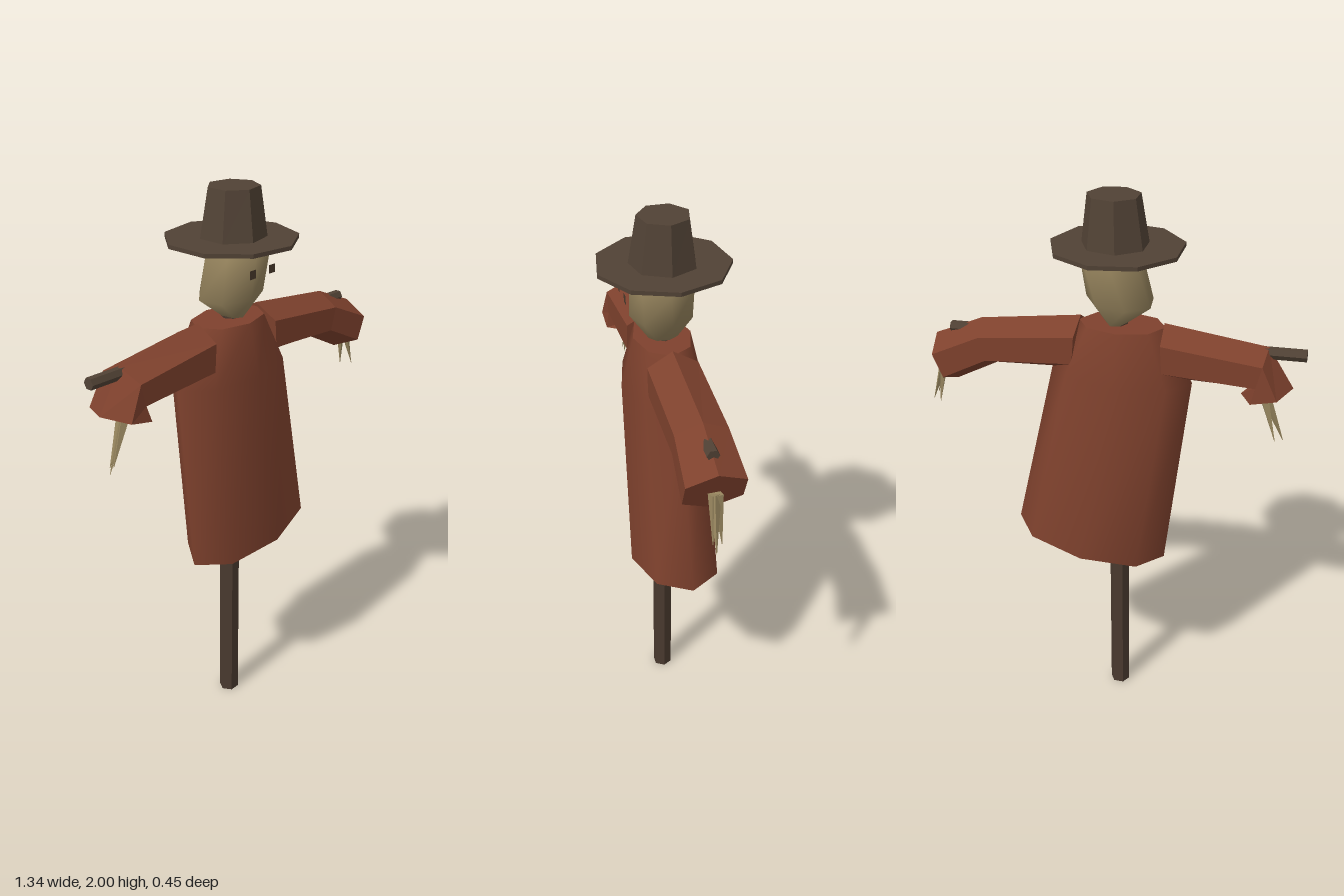
import * as THREE from 'three';

const paint = (name, color, side = THREE.FrontSide) => Object.assign(new THREE.MeshStandardMaterial({ color, side }), { name });

// Skin a list of rings (each an array of Vector3, counter-clockwise seen from the last ring's end).
function loft(rings, smooth) {
  const n = rings[0].length, pos = [], idx = [];
  const add = (p) => pos.push(p.x, p.y, p.z) / 3 - 1;
  rings.forEach((r) => r.forEach(add));
  for (let i = 0; i < rings.length - 1; i++) {
    for (let j = 0; j < n; j++) {
      const a = i * n + j, b = i * n + (j + 1) % n;
      idx.push(a, b, b + n, a, b + n, a + n);
    }
  }
  // Separate end caps keep their rims sharp
  [[rings[0], true], [rings[rings.length - 1], false]].forEach(([ring, flip]) => {
    const s = ring.map(add)[0];
    for (let j = 1; j < n - 1; j++) idx.push(s, s + j + (flip ? 1 : 0), s + j + (flip ? 0 : 1));
  });
  let g = new THREE.BufferGeometry();
  g.setAttribute('position', new THREE.Float32BufferAttribute(pos, 3));
  g.setIndex(idx);
  if (!smooth) g = g.toNonIndexed();
  g.computeVertexNormals();
  return g;
}

// Ring stacked along y: centre x, y, z, radii, slope of y along x, and turn
const levelRing = (n, cx, cy, cz, rx, rz, slope = 0, turn = 0) => Array.from({ length: n }, (_, i) => {
  const a = turn + i / n * Math.PI * 2, x = rx * Math.cos(a);
  return new THREE.Vector3(cx + x, cy + slope * x, cz - rz * Math.sin(a));
});

// Hexagonal sleeve ring between a top and a bottom point
const sleeveRing = ([tx, ty, bx, by, rz], dir) => Array.from({ length: 6 }, (_, i) => {
  const a = i / 6 * Math.PI * 2, c = Math.cos(a) / 2;
  return new THREE.Vector3((tx + bx) / 2 + c * (tx - bx), (ty + by) / 2 + c * (ty - by), dir * rz * Math.sin(a));
});

// Tapered bar between two points
function bar(from, to, r0, r1, sides) {
  const a = new THREE.Vector3(...from), d = new THREE.Vector3(...to).sub(a);
  const g = new THREE.CylinderGeometry(r1, r0, d.length(), sides).toNonIndexed();
  g.computeVertexNormals();
  g.applyQuaternion(new THREE.Quaternion().setFromUnitVectors(new THREE.Vector3(0, 1, 0), d.clone().normalize()));
  return g.translate(...a.addScaledVector(d, 0.5).toArray());
}

export function createModel() {
  const model = new THREE.Group();
  model.name = 'scarecrow';
  const cloth = paint('rust cloth', 0x7e412d);
  const wood = paint('dark wood', 0x4a3a2f);
  const felt = paint('brown felt', 0x514235);
  const sack = paint('sackcloth', 0x93815b);
  const straw = paint('straw', 0x9a8860);
  const eyeDark = paint('eye dark', 0x4a3a2c, THREE.DoubleSide);
  const add = (name, geometry, material, parent = model) => {
    const m = new THREE.Mesh(geometry, material);
    m.name = name;
    parent.add(m);
  };

  // Wooden frame
  add('pole', loft([
    levelRing(6, -0.053, 0, 0, 0.037, 0.037),
    levelRing(6, -0.035, 1.62, 0, 0.035, 0.035),
  ], false), wood);
  add('crossbar', bar([-0.675, 1.512, 0], [0.57, 1.485, 0], 0.021, 0.021, 6), felt);

  // Coat, with a slanted hem
  add('coat', loft([
    levelRing(8, 0.06, 0.69, -0.015, 0.281, 0.16, 0.17),
    levelRing(8, -0.05, 1.38, 0, 0.247, 0.143, 0.05),
    levelRing(8, -0.05, 1.562, 0, 0.15, 0.1),
  ], true), cloth);

  // Sleeves: top x, y, bottom x, y, half depth
  const sleeves = {
    leftSleeve: [1, [[0.095, 1.577, 0.11, 1.38, 0.1], [0.455, 1.53, 0.407, 1.365, 0.101], [0.63, 1.455, 0.56, 1.286, 0.113]]],
    rightSleeve: [-1, [[-0.196, 1.577, -0.21, 1.38, 0.1], [-0.55, 1.53, -0.513, 1.375, 0.101], [-0.64, 1.39, -0.466, 1.35, 0.113]]],
  };
  for (const [name, [dir, rings]] of Object.entries(sleeves)) {
    add(name, loft(rings.map((r) => sleeveRing(r, dir)), false), cloth);
  }

  // Straw hands
  for (const [name, x, y, tips] of [
    ['leftHand', 0.605, 1.37, [[0.667, 1.185, 0.01], [0.63, 1.19, -0.018], [0.65, 1.21, 0.018]]],
    ['rightHand', -0.54, 1.37, [[-0.62, 1.185, 0.01], [-0.595, 1.19, -0.018], [-0.61, 1.21, 0.018]]],
  ]) {
    const hand = new THREE.Group();
    hand.name = name;
    model.add(hand);
    tips.forEach((t, i) => add('straw' + (i + 1), bar([x, y, t[2] * 0.3], t, 0.02, 0.001, 4), straw, hand));
  }

  // Head, leaning slightly
  add('head', loft([
    levelRing(7, -0.032, 1.566, 0, 0.035, 0.05, 0, 0.3),
    levelRing(7, -0.044, 1.645, 0.003, 0.117, 0.108, 0.07, 0.1),
    levelRing(7, -0.012, 1.775, 0.004, 0.109, 0.11),
    levelRing(7, -0.02, 1.83, 0, 0.065, 0.065),
  ], true), sack);
  for (const [name, x] of [['leftEye', 0.014], ['rightEye', -0.081]]) {
    add(name, new THREE.PlaneGeometry(0.029, 0.029).translate(x, 1.743, 0.138), eyeDark);
  }

  // Hat
  add('hatBrim', loft([1.822, 1.836].map((y) => levelRing(9, -0.032, y, 0, 0.227, 0.227)), false), felt);
  add('hatCrown', loft([
    levelRing(7, -0.025, 1.834, 0, 0.115, 0.115),
    levelRing(7, -0.02, 2, 0, 0.09, 0.088),
  ], false), felt);
  return model;
}
